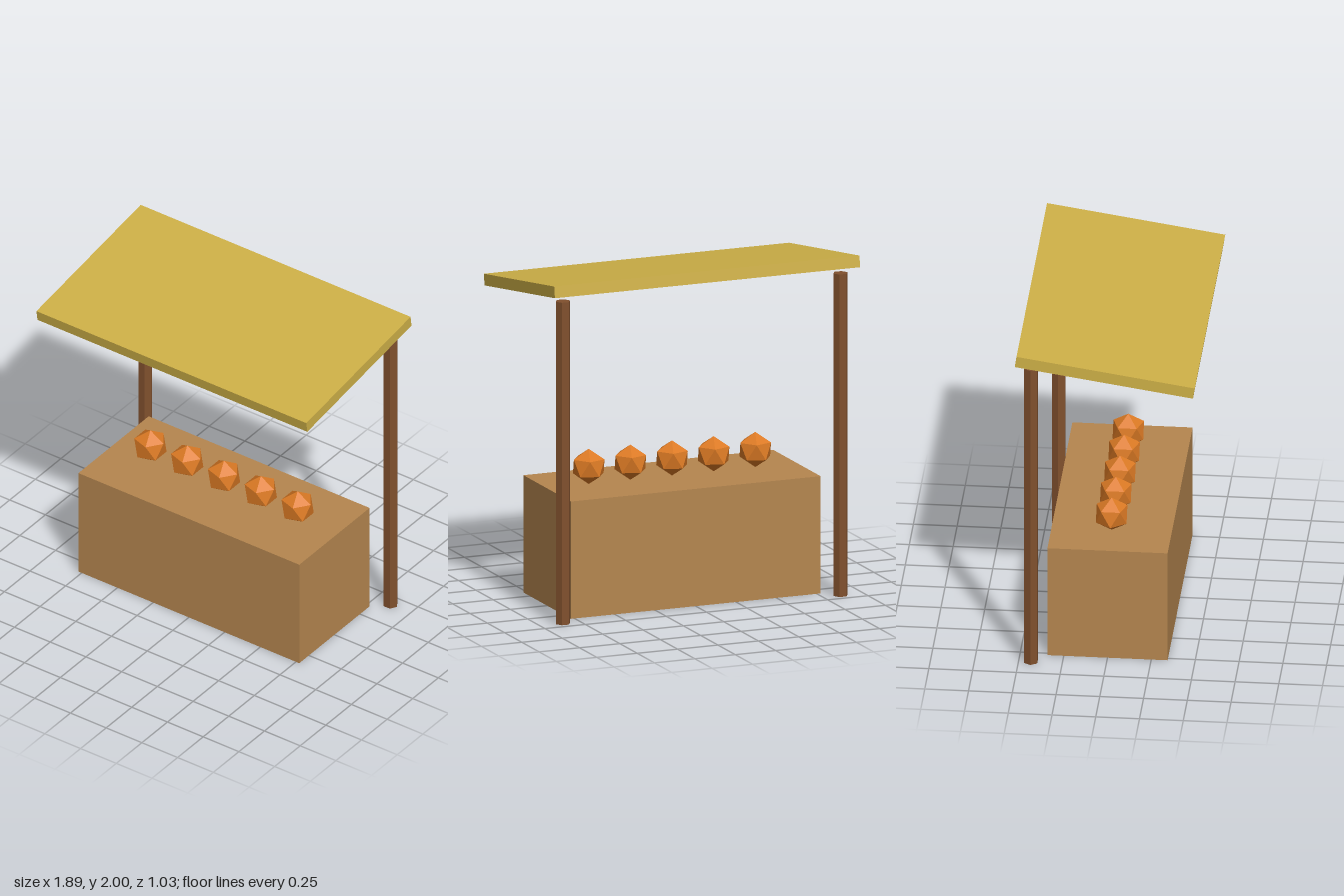
import * as THREE from 'three';

const material = (name, color) => {
  const m = new THREE.MeshStandardMaterial({ color, flatShading: true });
  m.name = name;
  return m;
};

export function createModel() {
  const stall = new THREE.Group();
  stall.name = 'marketStall';

  const wood = material('light wood', 0xb5864f);
  const darkWood = material('dark wood', 0x80502d);
  const straw = material('straw yellow', 0xceb047);
  const orange = material('orange', 0xdc7a24);

  const add = (name, geometry, mat, x, y, z) => {
    const mesh = new THREE.Mesh(geometry, mat);
    mesh.name = name;
    mesh.position.set(x, y, z);
    stall.add(mesh);
    return mesh;
  };

  // Counter block
  add('counter', new THREE.BoxGeometry(1.546, 0.687, 0.687), wood, 0, 0.3435, 0);

  // Hexagonal rear posts, corners pointing sideways
  const postGeometry = new THREE.CylinderGeometry(0.043, 0.043, 1.889, 6).rotateY(Math.PI / 6);
  for (const side of [-1, 1]) {
    add(side > 0 ? 'leftPost' : 'rightPost', postGeometry, darkWood, side * 0.859, 0.9445, -0.429);
  }

  // Sloping roof, lower at the front
  const roof = add('roof', new THREE.BoxGeometry(1.889, 0.067, 1.03), straw, 0, 1.889, 0);
  roof.rotation.x = 0.15;

  // Row of faceted fruit, each standing on a point
  const golden = (1 + Math.sqrt(5)) / 2;
  const fruitGeometry = new THREE.IcosahedronGeometry(0.103, 0).rotateZ(-Math.atan(1 / golden));
  for (let i = -2; i <= 2; i++) {
    add(`fruit${i + 3}`, fruitGeometry, orange, i * 0.2576, 0.791, 0);
  }

  return stall;
}
